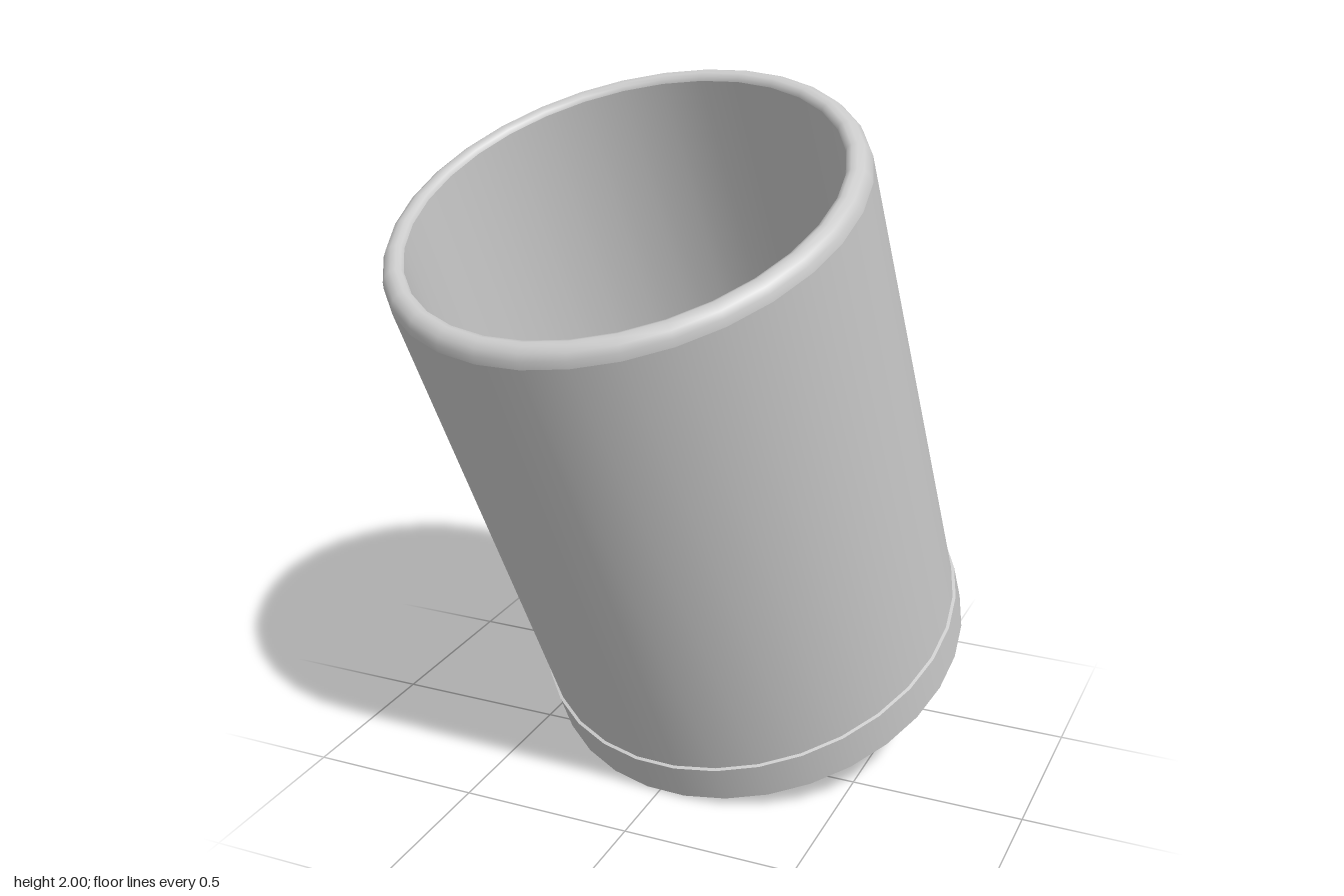
import * as THREE from 'three';

const SIDES = 32;

// Turned surface from [radius, height] pairs, listed upward for outside faces
function turned(name, profile) {
  const points = profile.map(([r, h]) => new THREE.Vector2(r, h));
  const mesh = new THREE.Mesh(
    new THREE.LatheGeometry(points, SIDES),
    new THREE.MeshStandardMaterial({ color: 0xcccccc })
  );
  mesh.name = name;
  return mesh;
}

export function createModel() {
  const model = new THREE.Group();
  model.name = 'tiltedCup';

  const cup = new THREE.Group();
  cup.name = 'cup';
  model.add(cup);

  // Base: underside, small chamfer, band and the ledge above it
  cup.add(turned('underside', [[0, 0], [0.61, 0]]));
  cup.add(turned('baseChamfer', [[0.61, 0], [0.637, 0.006]]));
  cup.add(turned('baseBand', [[0.637, 0.006], [0.638, 0.13]]));
  cup.add(turned('baseLedge', [[0.638, 0.13], [0.629, 0.132]]));

  // Slightly flared outer wall
  cup.add(turned('outerWall', [[0.629, 0.13], [0.647, 1.595]]));

  // Rounded lip
  cup.add(turned('lip', [
    [0.647, 1.595], [0.643, 1.615], [0.632, 1.632],
    [0.615, 1.641], [0.6, 1.641], [0.588, 1.636], [0.583, 1.625]
  ]));

  // Inside wall and floor
  cup.add(turned('innerWall', [[0.583, 1.625], [0.58, 0.02]]));
  cup.add(turned('floor', [[0.58, 0.02], [0, 0.02]]));

  // Lean forward and a little to one side
  const axis = new THREE.Vector3(-0.088, 0.918, 0.387).normalize();
  cup.quaternion.setFromUnitVectors(new THREE.Vector3(0, 1, 0), axis);
  cup.position.set(0.07, 0.253, -0.315);

  return model;
}
